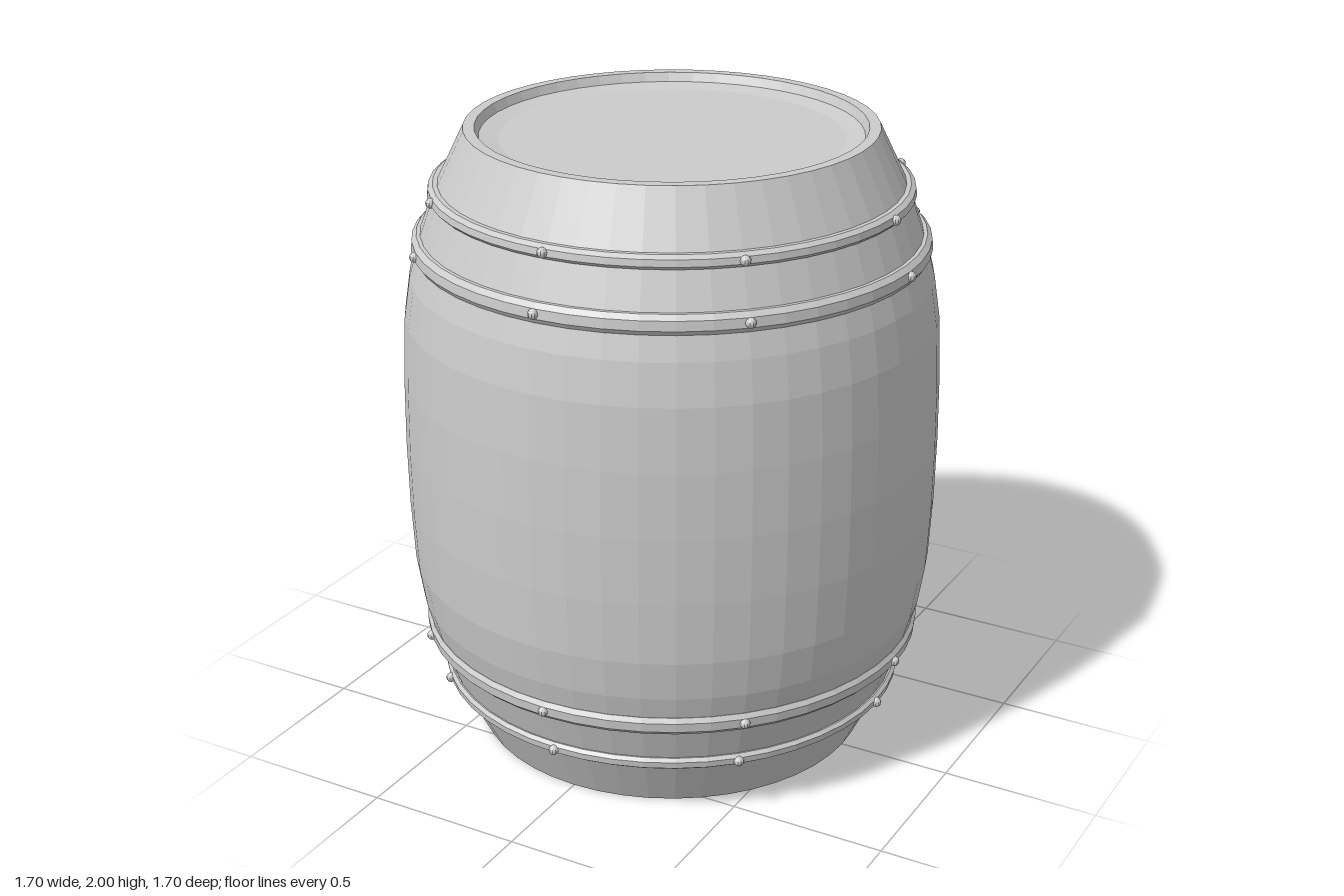
import * as THREE from 'three';

const SEGMENTS = 48;
const material = new THREE.MeshStandardMaterial({ color: 0xcccccc, flatShading: true });

function lathe(name, points) {
  const profile = points.map(([r, y]) => new THREE.Vector2(r, y));
  const mesh = new THREE.Mesh(new THREE.LatheGeometry(profile, SEGMENTS), material);
  mesh.name = name;
  return mesh;
}

// Mirror a profile about mid height, keeping the winding order
const flip = (points) => points.map(([r, y]) => [r, 2 - y]).reverse();

export function createModel() {
  const barrel = new THREE.Group();
  barrel.name = 'barrel';

  // Staves: bulging wall from the bottom rim up to the middle, mirrored above
  const lowerWall = [
    [0.635, 0], [0.728, 0.19], [0.785, 0.35], [0.815, 0.46], [0.835, 0.59], [0.845, 0.79],
  ];
  barrel.add(lathe('staves', [...lowerWall, [0.848, 1], ...flip(lowerWall)]));

  // Heads: rim lip, short inner wall and shallow dished lid at each end
  const lid = [[0.635, 2], [0.6, 2], [0.588, 1.972], [0.53, 1.962], [0, 1.96]];
  barrel.add(lathe('topHead', lid));
  barrel.add(lathe('bottomHead', flip(lid)));

  // Hoops: chamfered bands, each with eight rivets
  const hoops = [
    { y: 0.19, inner: 0.715, outer: 0.75, half: 0.021 },
    { y: 0.355, inner: 0.77, outer: 0.806, half: 0.03 },
  ];
  const rivetGeometry = new THREE.SphereGeometry(0.016, 10, 8);
  for (const { y, inner, outer, half } of hoops) {
    const band = [
      [inner, y - half], [outer - 0.018, y - half], [outer - 0.003, y - half * 0.5],
      [outer, y + half * 0.5], [outer - 0.01, y + half], [inner, y + half],
    ];
    for (const top of [false, true]) {
      const hoop = new THREE.Group();
      hoop.name = top ? 'upperHoop' : 'lowerHoop';
      hoop.add(lathe('band', top ? flip(band) : band));
      for (let i = 0; i < 8; i++) {
        const angle = (i * Math.PI) / 4;
        const rivet = new THREE.Mesh(rivetGeometry, material);
        rivet.name = 'rivet';
        rivet.position.set(Math.sin(angle) * outer, top ? 2 - y : y, Math.cos(angle) * outer);
        hoop.add(rivet);
      }
      barrel.add(hoop);
    }
  }
  return barrel;
}
